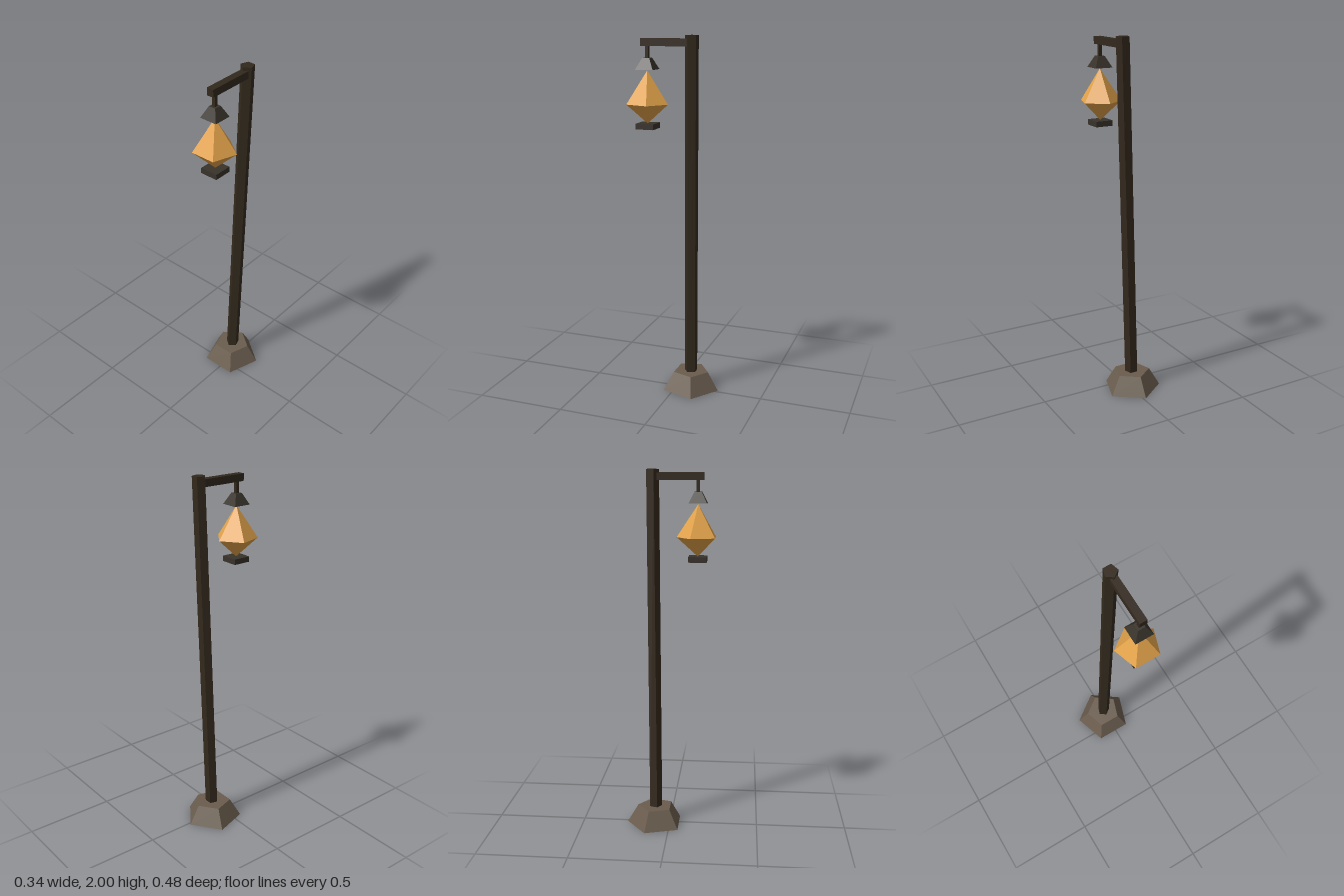
import * as THREE from 'three';

const material = (name, color) => {
  const m = new THREE.MeshStandardMaterial({ color, flatShading: true });
  m.name = name;
  return m;
};

export function createModel() {
  const stone = material('stone', 0x6a5d4e);
  const wood = material('dark wood', 0x33291d);
  const iron = material('dark iron', 0x38322a);
  const amber = material('amber glass', 0xe3a34a);

  const model = new THREE.Group();
  model.name = 'lampPost';

  const add = (name, geometry, mat, x, y, z, turn = 0) => {
    const mesh = new THREE.Mesh(geometry, mat);
    mesh.name = name;
    mesh.position.set(x, y, z);
    mesh.rotation.y = turn;
    model.add(mesh);
    return mesh;
  };

  // Five-sided stone foot, one corner to the back
  add('stoneBase', new THREE.CylinderGeometry(0.1025, 0.1636, 0.105, 5), stone, -0.015, 0.0525, -0.08, Math.PI);

  // Leaning five-sided post: the top ring is shifted sideways and back
  const post = new THREE.CylinderGeometry(0.037, 0.037, 1.92, 5);
  const p = post.attributes.position;
  for (let i = 0; i < p.count; i++) {
    const top = p.getY(i) > 0;
    p.setX(i, p.getX(i) + (top ? 0.055 : -0.013));
    p.setZ(i, p.getZ(i) + (top ? -0.101 : -0.081));
  }
  add('post', post, wood, 0, 1.04, 0);

  // Arm reaching forward and the rod hanging from it
  add('arm', new THREE.BoxGeometry(0.04, 0.04, 0.278), wood, 0.057, 1.962, 0.039);
  const lampX = 0.058, lampZ = 0.147;
  add('hangingRod', new THREE.BoxGeometry(0.018, 0.08, 0.018), wood, lampX, 1.91, lampZ);

  // Square tapered cap and flat bottom plate
  const side = Math.SQRT1_2;
  add('lanternCap', new THREE.CylinderGeometry(0.04 * side, 0.1 * side, 0.06, 4), iron, lampX, 1.85, lampZ, Math.PI / 4);
  add('lanternPlate', new THREE.BoxGeometry(0.1, 0.03, 0.1), iron, lampX, 1.521, lampZ);

  // Glowing crystal: two five-sided cones joined at the widest ring
  const radius = 0.1165, belt = 1.638, tip = 1.815, foot = 1.534;
  add('crystalTop', new THREE.ConeGeometry(radius, tip - belt, 5, 1, true), amber, lampX, (tip + belt) / 2, lampZ, Math.PI);
  add('crystalBottom', new THREE.CylinderGeometry(radius, 0, belt - foot, 5, 1, true), amber, lampX, (belt + foot) / 2, lampZ, Math.PI);

  return model;
}
